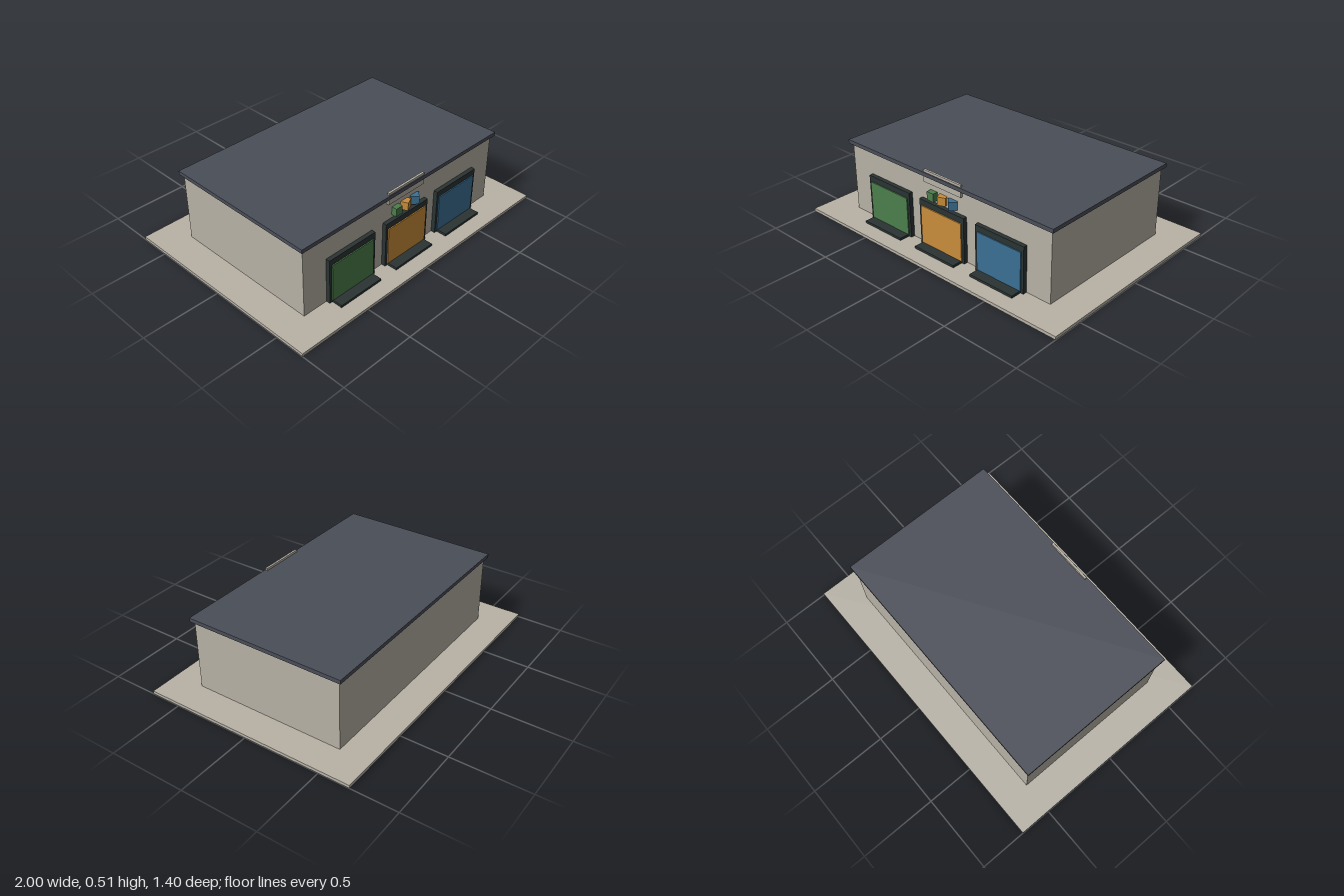
import * as THREE from 'three';

function material(name, color) {
  const m = new THREE.MeshStandardMaterial({ color });
  m.name = name;
  return m;
}

export function createModel() {
  const model = new THREE.Group();
  model.name = 'garageBuilding';

  const concrete = material('concrete', 0xb8b2a6);
  const slate = material('slate', 0x4a4e58);
  const charcoal = material('charcoal', 0x2b3333);
  const green = material('green', 0x4c7e4b);
  const orange = material('orange', 0xc98d3a);
  const blue = material('blue', 0x3b7094);

  // Box given by its extents along each axis
  function box(name, mat, [x0, x1], [y0, y1], [z0, z1], parent = model) {
    const mesh = new THREE.Mesh(new THREE.BoxGeometry(x1 - x0, y1 - y0, z1 - z0), mat);
    mesh.position.set((x0 + x1) / 2, (y0 + y1) / 2, (z0 + z1) / 2);
    mesh.name = name;
    parent.add(mesh);
    return mesh;
  }

  // Ground slab, walls and overhanging roof
  box('groundSlab', concrete, [-1, 1], [0, 0.02], [-0.7, 0.7]);
  box('walls', concrete, [-0.8, 0.8], [0.02, 0.475], [-0.5, 0.5]);
  box('roof', slate, [-0.82, 0.82], [0.475, 0.5], [-0.52, 0.52]);

  // Blank sign board rising through the eave
  box('signBoard', concrete, [-0.15, 0.15], [0.436, 0.515], [0.5, 0.514]);

  // Three bays: frame, coloured door, threshold ramp, and a marker cube above the middle
  [green, orange, blue].forEach((colour, i) => {
    const bay = new THREE.Group();
    bay.name = 'doorBay';
    bay.position.x = (i - 1) * 0.45;
    box('doorFrame', charcoal, [-0.18, 0.18], [0.02, 0.32], [0.5, 0.527], bay);
    box('doorPanel', colour, [-0.163, 0.163], [0.034, 0.282], [0.527, 0.534], bay);
    box('threshold', charcoal, [-0.16, 0.16], [0.02, 0.035], [0.5, 0.598], bay);
    model.add(bay);

    // Each cube is turned a little further than the last
    const x = (i - 1) * 0.08, h = 0.0265;
    const cube = box('markerCube', colour, [x - h, x + h], [0.341, 0.395], [0.508 - h, 0.508 + h]);
    cube.rotation.y = i * 0.4;
  });

  return model;
}
